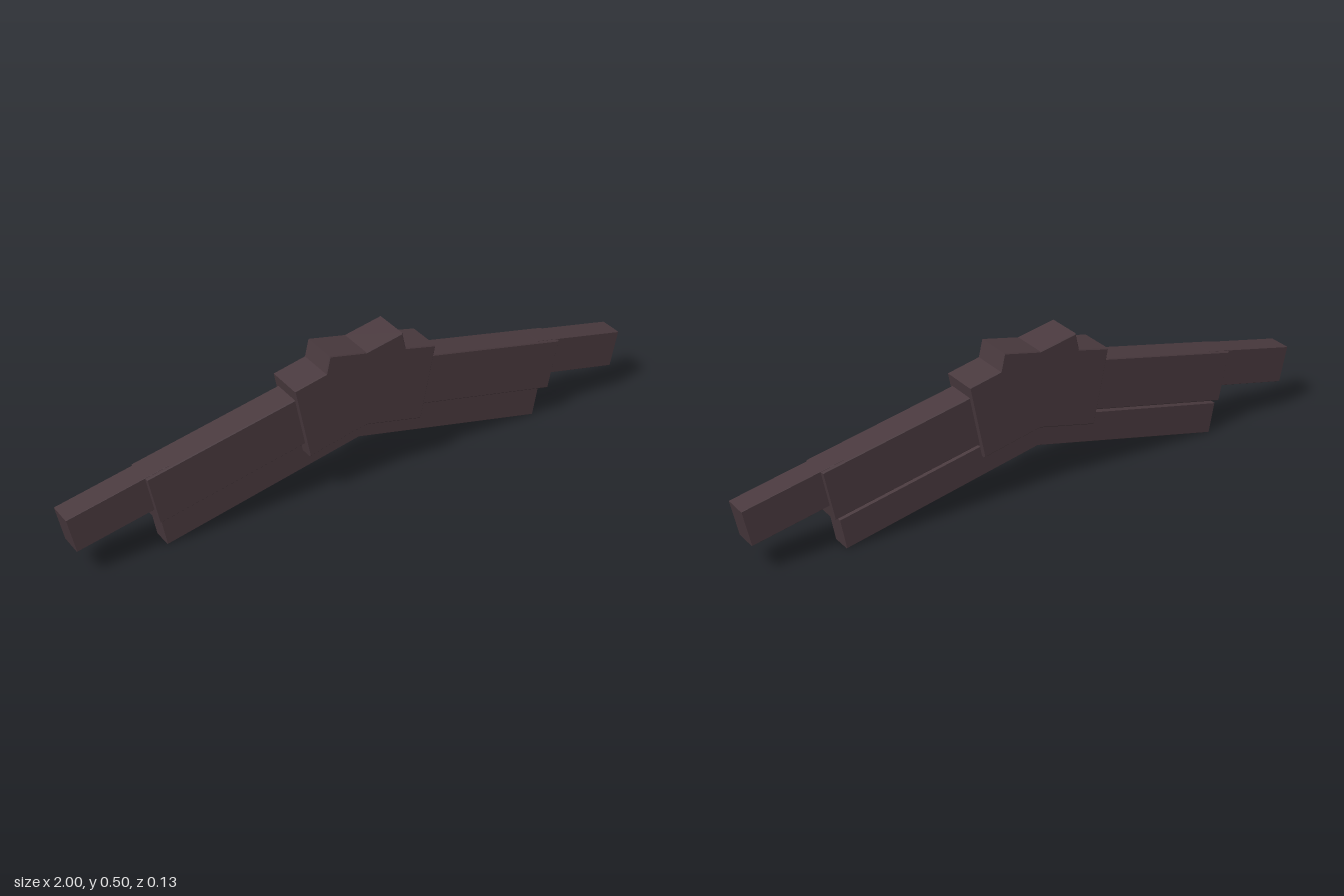
import * as THREE from 'three';

const darkBrown = new THREE.MeshStandardMaterial({ color: 0x4a3a3f });
darkBrown.name = 'darkBrown';

// Extrudes an outline between two depths, with a fine chamfer inside its bounds
function slab(name, points, back, front, bevel = 0.003) {
  const shape = new THREE.Shape(points.map(([x, y]) => new THREE.Vector2(x, y)));
  const geometry = new THREE.ExtrudeGeometry(shape, {
    depth: front - back - 2 * bevel,
    bevelEnabled: true,
    bevelThickness: bevel,
    bevelSize: bevel,
    bevelOffset: -bevel,
    bevelSegments: 1,
  });
  geometry.translate(0, 0, back + bevel);
  const mesh = new THREE.Mesh(geometry, darkBrown);
  mesh.name = name;
  return mesh;
}

// Completes a right-half outline, running top to bottom, with its mirror image
function mirrored(half) {
  const other = half.filter(([x]) => x > 0).reverse().map(([x, y]) => [-x, y]);
  return [...half, ...other];
}

export function createModel() {
  const group = new THREE.Group();
  group.name = 'bentArm';

  // Stepped central block with a shallow V on top
  group.add(slab('centreBlock', mirrored([
    [0, 0.473], [0.129, 0.5], [0.142, 0.443], [0.252, 0.418], [0.202, 0.17], [0, 0.215],
  ]), -0.063, 0.063));

  // Thin lower bar, set towards the back
  group.add(slab('lowerBar', mirrored([
    [0, 0.248], [0.694, 0.102], [0.675, 0], [0, 0.148],
  ]), -0.048, 0.02, 0.001));

  // Sloping arms with narrower tips
  for (const side of [1, -1]) {
    const place = (points) => points.map(([x, y]) => [side * x, y]);
    const label = side > 0 ? 'left' : 'right';
    group.add(slab(label + 'Arm', place([
      [0.1, 0.409], [0.744, 0.274], [0.71, 0.107], [0.066, 0.243],
    ]), -0.05, 0.05));
    group.add(slab(label + 'Tip', place([
      [0.666, 0.292], [1, 0.222], [0.974, 0.102], [0.641, 0.172],
    ]), -0.04, 0.04, 0.001));
  }

  return group;
}
